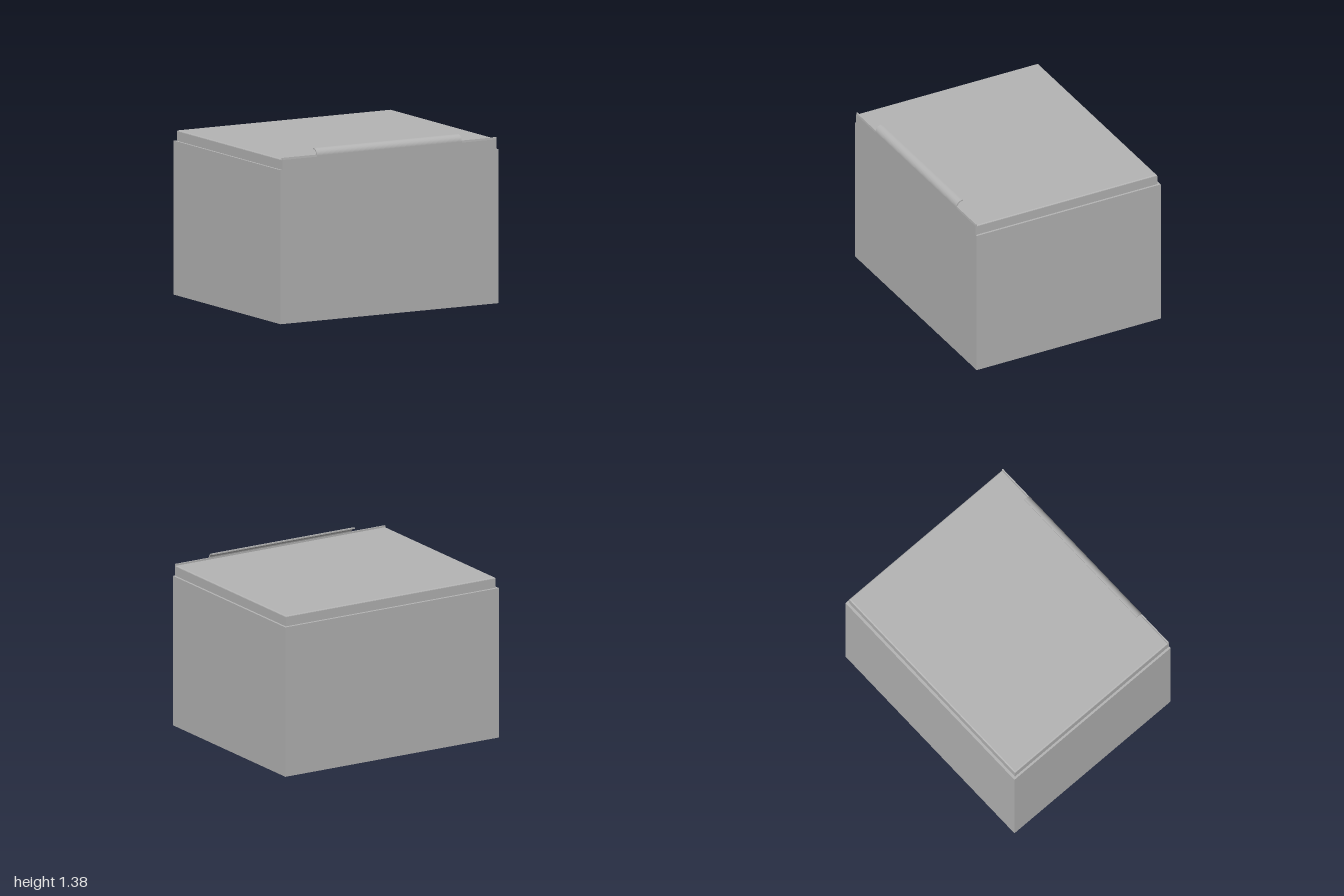
import * as THREE from 'three';

const WIDTH = 2, DEPTH = 1.66, BODY_H = 1.235, FRONT = DEPTH / 2;

// Extrudes a (z, y) profile across the width, centred on x = 0.
function acrossWidth(shape, width) {
  const geo = new THREE.ExtrudeGeometry(shape, { depth: width, bevelEnabled: false, curveSegments: 12 });
  geo.translate(0, 0, -width / 2);
  geo.rotateY(-Math.PI / 2);
  return geo;
}

export function createModel() {
  const group = new THREE.Group();
  const grey = new THREE.MeshStandardMaterial({ color: 0xb4b4b4 });
  grey.name = 'grey';
  const add = (name, geo) => {
    const mesh = new THREE.Mesh(geo, grey);
    mesh.name = name;
    group.add(mesh);
    return mesh;
  };

  // Main box
  add('body', new THREE.BoxGeometry(WIDTH, BODY_H, DEPTH)).position.y = BODY_H / 2;

  // Lid, inset on the sides and back, with a softened top edge
  const bevel = 0.01, halfX = 0.982, back = -0.808, front = 0.822, base = 1.21, top = 1.32;
  const outline = new THREE.Shape();
  outline.moveTo(-halfX + bevel, -front + bevel);
  outline.lineTo(halfX - bevel, -front + bevel);
  outline.lineTo(halfX - bevel, -back - bevel);
  outline.lineTo(-halfX + bevel, -back - bevel);
  outline.closePath();
  const lid = new THREE.ExtrudeGeometry(outline, {
    depth: top - base - 2 * bevel, bevelThickness: bevel, bevelSize: bevel, bevelSegments: 4,
  });
  lid.rotateX(-Math.PI / 2);
  lid.translate(0, base + bevel, 0);
  add('lid', lid);

  // Thin front lip of the lid, flush with the box front
  const lip = new THREE.Shape();
  lip.moveTo(FRONT - 0.012, BODY_H);
  lip.lineTo(FRONT, BODY_H);
  lip.lineTo(FRONT, 1.315);
  lip.lineTo(FRONT - 0.002, 1.332);
  lip.lineTo(FRONT - 0.012, 1.332);
  lip.closePath();
  add('frontLip', acrossWidth(lip, 1.966));

  // Handle curling up and backwards from the lip
  const r = 0.055, t = 0.01, cz = FRONT - r, cy = 1.323;
  const curl = new THREE.Shape();
  curl.moveTo(FRONT - t, 1.31);
  curl.lineTo(FRONT, 1.31);
  curl.lineTo(FRONT, cy);
  curl.absarc(cz, cy, r, 0, Math.PI / 2, false);
  curl.lineTo(0.77, cy + r);
  curl.lineTo(0.77, cy + r - t);
  curl.lineTo(cz, cy + r - t);
  curl.absarc(cz, cy, r - t, Math.PI / 2, 0, true);
  curl.closePath();
  add('handle', acrossWidth(curl, 1.33));

  return group;
}
